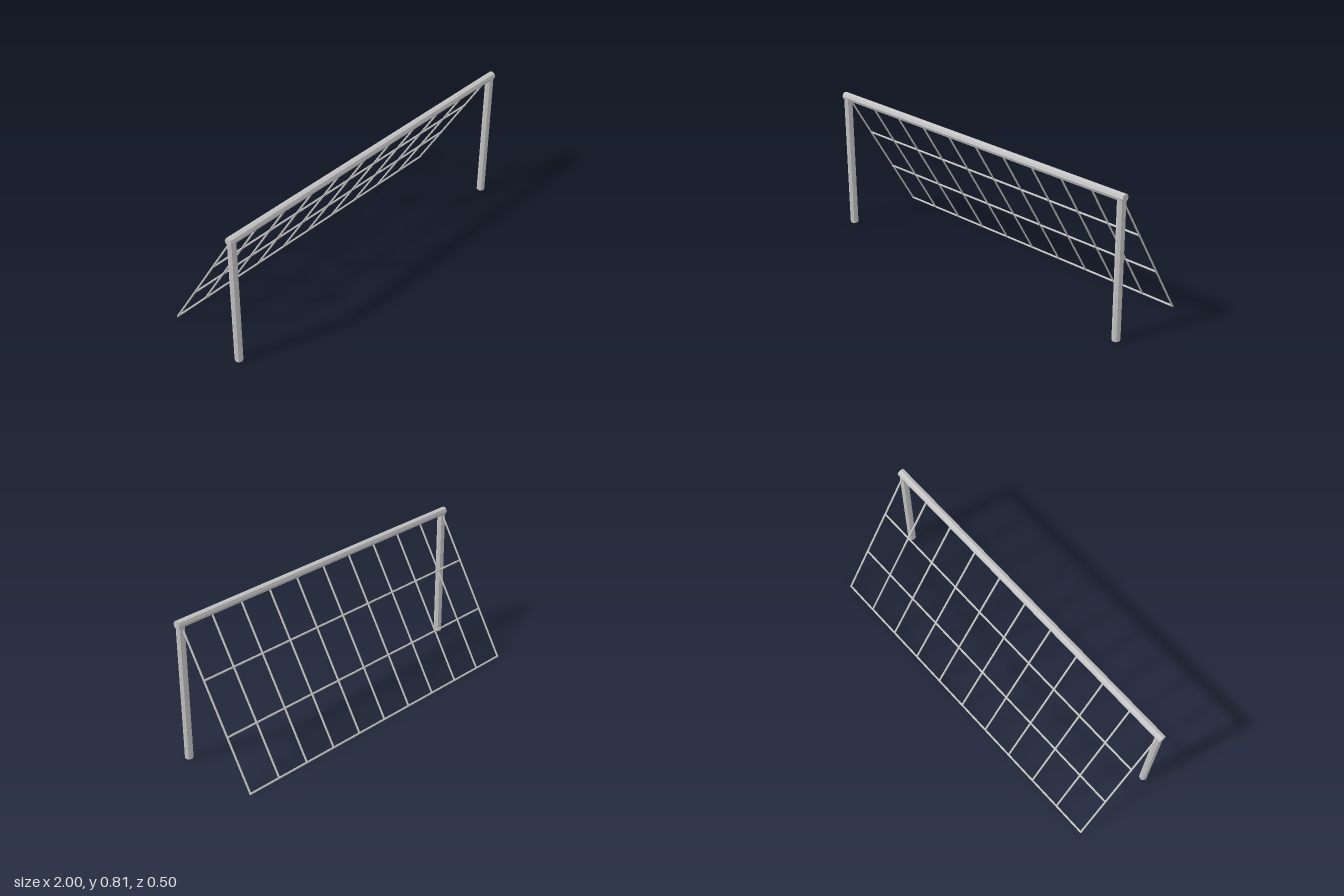
import * as THREE from 'three';

export function createModel() {
  const group = new THREE.Group();
  const metal = new THREE.MeshStandardMaterial({ color: 0xc4c4c4, flatShading: true });
  metal.name = 'grey metal';

  // Straight rod between two points
  function rod(name, a, b, radius, sides) {
    const dir = b.clone().sub(a);
    const mesh = new THREE.Mesh(new THREE.CylinderGeometry(radius, radius, dir.length(), sides), metal);
    mesh.name = name;
    mesh.position.copy(a).add(b).multiplyScalar(0.5);
    mesh.quaternion.setFromUnitVectors(new THREE.Vector3(0, 1, 0), dir.normalize());
    group.add(mesh);
  }

  const frameRadius = 0.0225, netRadius = 0.0055;
  const frontZ = 0.226, barY = 0.788;
  const backZ = -0.243, backY = 0.0055;
  const postX = 0.9775, netX = 0.975;
  const V = (x, y, z) => new THREE.Vector3(x, y, z);

  // Goal frame: two posts and a crossbar
  rod('crossbar', V(-1, barY, frontZ), V(1, barY, frontZ), frameRadius, 8);
  for (const s of [-1, 1]) {
    rod(s > 0 ? 'leftPost' : 'rightPost', V(s * postX, 0.008, frontZ), V(s * postX, barY, frontZ), frameRadius, 8);
  }

  // Sloping net: strands running down from the crossbar
  for (let i = 0; i <= 10; i++) {
    const x = -netX + (2 * netX * i) / 10;
    rod('netSlopeStrand', V(x, barY, frontZ), V(x, backY, backZ), netRadius, 6);
  }

  // Sloping net: strands running across
  for (let i = 1; i <= 3; i++) {
    const y = THREE.MathUtils.lerp(barY, backY, i / 3);
    const z = THREE.MathUtils.lerp(frontZ, backZ, i / 3);
    rod('netCrossStrand', V(-netX - 0.004, y, z), V(netX + 0.004, y, z), netRadius, 6);
  }

  return group;
}
